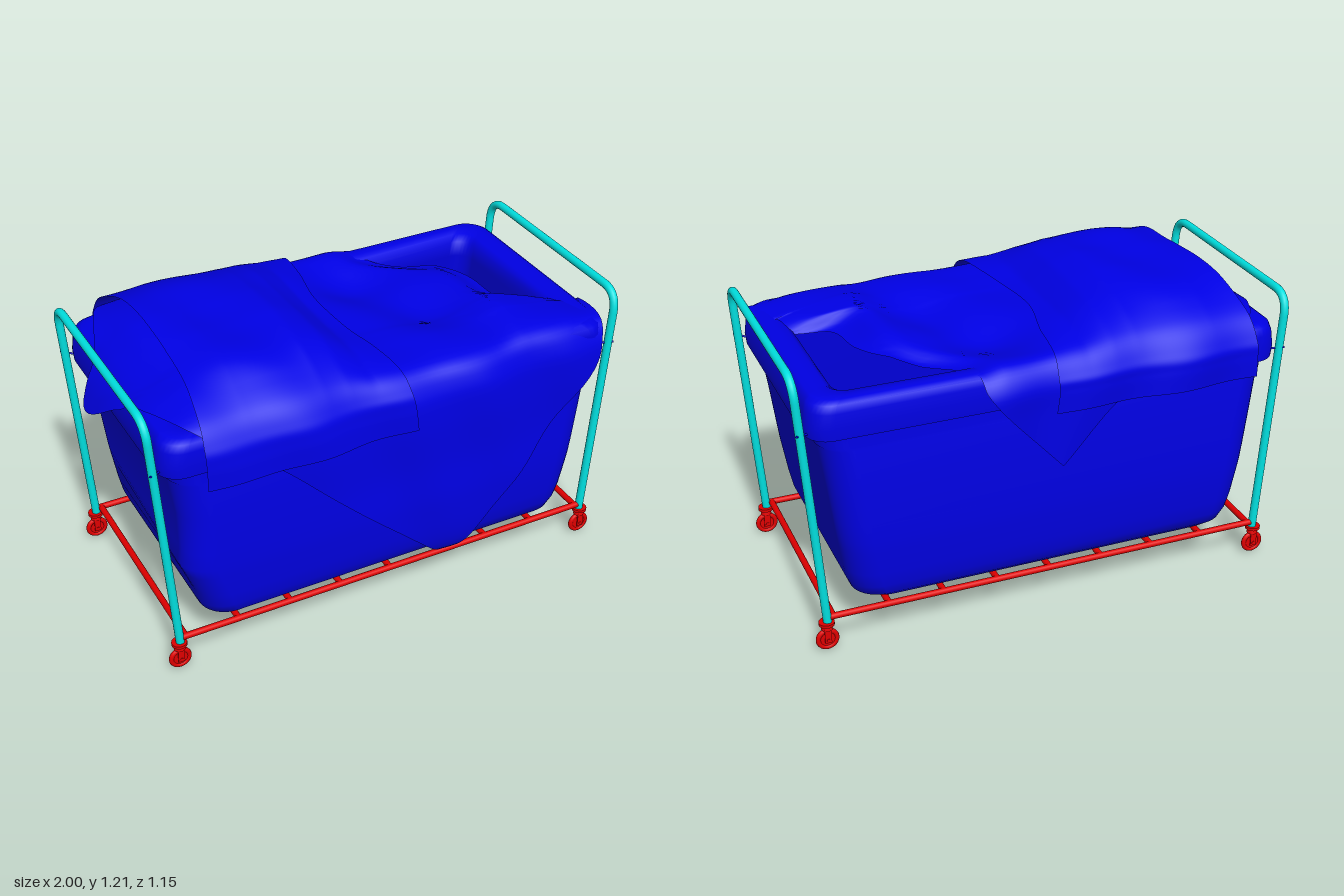
import * as THREE from 'three';

const blue = new THREE.MeshStandardMaterial({ color: 0x0000e4, side: THREE.DoubleSide });
const cyan = new THREE.MeshStandardMaterial({ color: 0x00e0e0 });
const red = new THREE.MeshStandardMaterial({ color: 0xe00000 });
const CX = 0.012, RAIL_Z = 0.445, RAIL_Y = 0.14;

function add(parent, name, geometry, material) {
  const mesh = new THREE.Mesh(geometry, material);
  mesh.name = name;
  parent.add(mesh);
  return mesh;
}

// Surface from a grid of points, fn(i, j) -> [x, y, z]
function gridSurface(rows, cols, fn) {
  const pos = [], index = [];
  for (let i = 0; i <= rows; i++) {
    for (let j = 0; j <= cols; j++) {
      pos.push(...fn(i, j));
      if (i < rows && j < cols) {
        const a = i * (cols + 1) + j, b = a + cols + 1;
        index.push(a, b, a + 1, b, b + 1, a + 1);
      }
    }
  }
  const g = new THREE.BufferGeometry();
  g.setAttribute('position', new THREE.Float32BufferAttribute(pos, 3));
  g.setIndex(index);
  g.computeVertexNormals();
  return g;
}

function bar(parent, name, a, b, r, material) {
  const from = new THREE.Vector3(...a), dir = new THREE.Vector3(...b).sub(from);
  const m = add(parent, name, new THREE.CylinderGeometry(r, r, dir.length(), 16), material);
  m.position.copy(from).addScaledVector(dir, 0.5);
  m.quaternion.setFromUnitVectors(new THREE.Vector3(0, 1, 0), dir.normalize());
  return m;
}

// Stack of rounded rectangles: [halfX, halfZ, y, cornerRadius]
function loft(rings) {
  const n = 9;
  return gridSurface(rings.length - 1, 4 * n, (i, j) => {
    const [hx, hz, y, r] = rings[i];
    const q = Math.floor(j / n) % 4, a = (q + (j % n) / (n - 1)) * Math.PI / 2;
    const sx = q === 0 || q === 3 ? 1 : -1, sz = q < 2 ? 1 : -1;
    let x = CX + sx * (hx - r) + r * Math.cos(a);
    const z = sz * (hz - r) + r * Math.sin(a);
    // soft bulge low on one end
    if (x < -0.6 && z > 0) x -= 0.035 * Math.exp(-(((y - 0.45) / 0.08) ** 2));
    return [x, y, z];
  });
}

function lookup(table, x) {
  for (let i = 1; i < table.length; i++) {
    const [x0, y0] = table[i - 1], [x1, y1] = table[i];
    if (x <= x1) return THREE.MathUtils.lerp(y0, y1, Math.max(0, (x - x0) / (x1 - x0)));
  }
  return table[table.length - 1][1];
}

const bump = (x, z, cx, cz, r) => Math.exp(-((x - cx) ** 2 + (z - cz) ** 2) / (r * r));
const wrinkle = (x, y, z) => 0.007 * (Math.sin(9 * x + 5 * z + 3 * y) + Math.sin(17 * x - 8 * z + 6 * y));

// Sheet draped front to back. Rows: [z, y, share of the top height, left x, right x]
function drape(rows, height, lift, sag) {
  const section = new THREE.CatmullRomCurve3(rows.map(r => new THREE.Vector3(r[0], r[1], r[2])), false, 'catmullrom');
  const edges = new THREE.CatmullRomCurve3(rows.map(r => new THREE.Vector3(r[3], r[4], 0)), false, 'catmullrom');
  const nt = 100, ns = 60;
  return gridSurface(nt, ns, (i, j) => {
    const p = section.getPoint(i / nt), e = edges.getPoint(i / nt), s = j / ns;
    const k = THREE.MathUtils.clamp(p.z, 0, 1), x = THREE.MathUtils.lerp(e.x, e.y, s);
    let z = p.x, y = p.y + k * (lookup(height, x) - 1.04);
    const w = wrinkle(x, y, z);
    y += lift + k * (w - 0.05 * bump(x, z, 0.15, -0.25, 0.2) - 0.03 * bump(x, z, 0.35, 0.1, 0.16));
    y -= sag * k * THREE.MathUtils.smoothstep(s, 0.9, 1);
    const side = 1 - Math.min(1, k * 2);
    z += Math.sign(z) * side * (w + lift * 0.6);
    if (z > 0.3) z -= 0.07 * Math.max(0, x - 0.2) ** 1.5;
    return [x, y, z];
  });
}

export function createModel() {
  const root = new THREE.Group();
  root.name = 'laundryCart';

  // Base frame
  const base = new THREE.Group();
  base.name = 'baseFrame';
  root.add(base);
  for (const s of [1, -1])
    bar(base, 'sideRail', [CX - 0.9, RAIL_Y, s * RAIL_Z], [CX + 0.9, RAIL_Y, s * RAIL_Z], 0.0125, red);
  for (let i = 0; i < 9; i++) {
    const x = CX - 0.87 + i * 0.2175;
    bar(base, 'crossBar', [x, RAIL_Y, -RAIL_Z], [x, RAIL_Y, RAIL_Z], 0.0125, red);
  }

  for (const s of [1, -1]) {
    // Bent tube handle, leaning outward
    const P = (y, z) => new THREE.Vector3(CX + s * (0.893 + 0.073 * (y - 0.12)), y, z);
    const path = new THREE.CurvePath(), top = 1.125, r = 0.085;
    const corner = z => [P(top - r, z), P(top, z), P(top, z - Math.sign(z) * r)];
    const [a0, a1, a2] = corner(RAIL_Z), [b0, b1, b2] = corner(-RAIL_Z);
    path.add(new THREE.LineCurve3(P(0.12, RAIL_Z), a0));
    path.add(new THREE.QuadraticBezierCurve3(a0, a1, a2));
    path.add(new THREE.LineCurve3(a2, b2));
    path.add(new THREE.QuadraticBezierCurve3(b2, b1, b0));
    path.add(new THREE.LineCurve3(b0, P(0.12, -RAIL_Z)));
    add(root, 'endHandle', new THREE.TubeGeometry(path, 200, 0.0165, 16), cyan);

    for (const t of [1, -1]) {
      // Tie holding the basket to the handle
      bar(root, 'basketTie', [CX + s * 0.9, 0.9, t * 0.42], [CX + s * 0.965, 0.915, t * 0.46], 0.004, blue);

      // Caster
      const caster = new THREE.Group();
      caster.name = 'caster';
      caster.position.set(CX + s * 0.897, 0, t * RAIL_Z);
      root.add(caster);
      const flange = add(caster, 'casterFlange', new THREE.CylinderGeometry(0.03, 0.03, 0.012, 20), red);
      flange.position.y = 0.116;
      const swivel = add(caster, 'casterSwivel', new THREE.CylinderGeometry(0.018, 0.022, 0.02, 16), red);
      swivel.position.y = 0.1;
      const wheel = add(caster, 'wheel', new THREE.TorusGeometry(0.036, 0.0095, 10, 28), red);
      wheel.position.y = 0.046;
      bar(caster, 'wheelDisc', [0, 0.046, -0.005], [0, 0.046, 0.005], 0.034, red);
      bar(caster, 'axle', [0, 0.046, -0.018], [0, 0.046, 0.018], 0.007, red);
      for (const u of [1, -1]) {
        const fork = add(caster, 'forkPlate', new THREE.BoxGeometry(0.026, 0.062, 0.004), red);
        fork.position.set(0, 0.066, u * 0.014);
      }
    }
  }

  // Basket body, inside and lining folded over the rim
  add(root, 'basketBody', loft([
    [0.001, 0.001, 0.158, 0.0005], [0.66, 0.38, 0.158, 0.08], [0.73, 0.43, 0.168, 0.1], [0.772, 0.46, 0.195, 0.11],
    [0.79, 0.475, 0.24, 0.11], [0.802, 0.485, 0.3, 0.11], [0.818, 0.493, 0.4, 0.11], [0.826, 0.496, 0.45, 0.11],
    [0.835, 0.497, 0.52, 0.11], [0.855, 0.496, 0.68, 0.11], [0.878, 0.488, 0.833, 0.11], [0.885, 0.483, 0.842, 0.1],
    [0.895, 0.48, 0.93, 0.1]]), blue);
  add(root, 'basketLining', loft([
    [0.926, 0.49, 0.888, 0.09], [0.93, 0.492, 0.93, 0.09], [0.922, 0.49, 0.99, 0.09], [0.912, 0.482, 1.02, 0.09],
    [0.893, 0.465, 1.034, 0.09], [0.86, 0.435, 1.036, 0.08], [0.82, 0.4, 1.03, 0.07], [0.795, 0.375, 1.01, 0.07],
    [0.788, 0.37, 0.95, 0.07], [0.77, 0.41, 0.6, 0.08], [0.75, 0.42, 0.28, 0.08], [0.7, 0.38, 0.22, 0.08],
    [0.001, 0.001, 0.215, 0.0005]]), blue);

  // Lower sheet, laid cornerwise with a point hanging down each side
  add(root, 'lowerSheet', drape([
    [0.45, 0.16, 0, 0.23, 0.23], [0.53, 0.24, 0, 0.145, 0.305], [0.55, 0.45, 0, -0.08, 0.49],
    [0.545, 0.65, 0, -0.29, 0.67], [0.545, 0.85, 0, -0.5, 0.86], [0.53, 0.97, 0.05, -0.68, 0.9],
    [0.47, 1.045, 0.28, -0.8, 0.92], [0.31, 1.05, 0.8, -0.88, 0.94], [0.2, 1.045, 0.94, -0.91, 0.88],
    [0.13, 1.04, 0.97, -0.95, 0.68], [-0.07, 1.04, 1, -1, 0.64], [-0.2, 1.04, 0.97, -0.9, 0.56],
    [-0.36, 1.05, 0.65, -0.84, 0.37], [-0.47, 1.045, 0.28, -0.76, 0.31], [-0.525, 0.97, 0.05, -0.45, 0.29],
    [-0.53, 0.85, 0, -0.22, 0.2], [-0.53, 0.63, 0, 0, 0]],
  [[-1, 0.89], [-0.95, 0.98], [-0.88, 1.05], [-0.77, 1.11], [-0.6, 1.17], [-0.3, 1.17], [-0.2, 1.14], [-0.1, 1.08],
    [0, 1.07], [0.3, 1.05], [0.45, 1.055], [0.55, 1.085], [0.65, 1.075], [0.85, 1.05], [0.95, 1.04]], 0, 0.05), blue);

  // Upper sheet, laid squarely over the heap
  add(root, 'upperSheet', drape([
    [0.555, 0.84, 0, -0.78, 0.05], [0.55, 0.93, 0, -0.78, 0.04], [0.535, 0.99, 0.07, -0.78, 0.03],
    [0.47, 1.045, 0.29, -0.77, 0.02], [0.31, 1.05, 0.8, -0.75, 0], [0.12, 1.04, 0.98, -0.74, -0.03],
    [-0.1, 1.04, 1, -0.74, -0.04], [-0.3, 1.05, 0.8, -0.75, 0], [-0.47, 1.045, 0.29, -0.77, 0.02],
    [-0.54, 0.98, 0.07, -0.78, 0.03], [-0.55, 0.93, 0, -0.78, 0.03], [-0.55, 0.85, 0, -0.78, 0.04]],
  [[-0.78, 1.165], [-0.6, 1.185], [-0.3, 1.18], [-0.2, 1.15], [-0.1, 1.09], [0, 1.08], [0.1, 1.07]], 0.016, 0), blue);

  return root;
}
